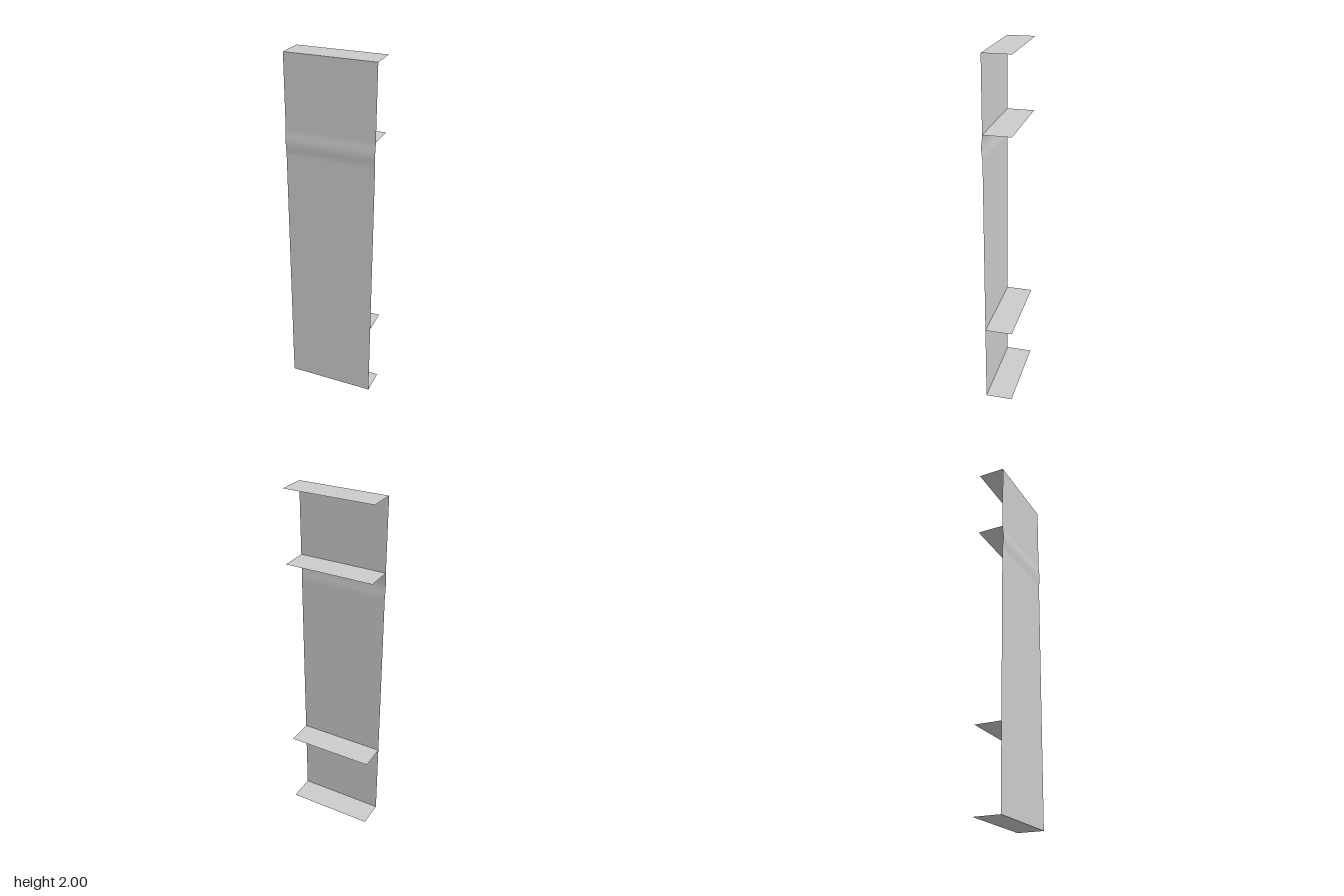
import * as THREE from 'three';

export function createModel() {
  const group = new THREE.Group();
  const material = new THREE.MeshStandardMaterial({ color: 0xcccccc, side: THREE.DoubleSide });
  const width = 0.5, height = 2, front = 0.073, back = -0.079;

  // Upright front sheet with a very shallow swell below the upper shelf
  const low = 1.45, high = 1.6, swell = 0.006;
  const levels = [0, low];
  for (let i = 1; i <= 8; i++) levels.push(low + (high - low) * i / 8);
  levels.push(height);
  const sheet = new THREE.PlaneGeometry(width, height, 1, levels.length - 1);
  const pos = sheet.attributes.position;
  for (let i = 0; i < pos.count; i++) {
    const y = levels[levels.length - 1 - Math.floor(i / 2)];
    const t = THREE.MathUtils.clamp((y - low) / (high - low), 0, 1);
    pos.setY(i, y);
    pos.setZ(i, front + swell * Math.sin(Math.PI * t) ** 2);
  }
  sheet.computeVertexNormals();
  const panel = new THREE.Mesh(sheet, material);
  panel.name = 'frontPanel';
  group.add(panel);

  // Thin horizontal shelves reaching back from the sheet
  const shelfGeometry = new THREE.PlaneGeometry(width, front - back).rotateX(-Math.PI / 2);
  const shelves = { bottomShelf: 0, lowerShelf: 0.455, upperShelf: 1.6, topShelf: 2 };
  for (const [name, y] of Object.entries(shelves)) {
    const shelf = new THREE.Mesh(shelfGeometry, material);
    shelf.name = name;
    shelf.position.set(0, y, (front + back) / 2);
    group.add(shelf);
  }
  return group;
}
